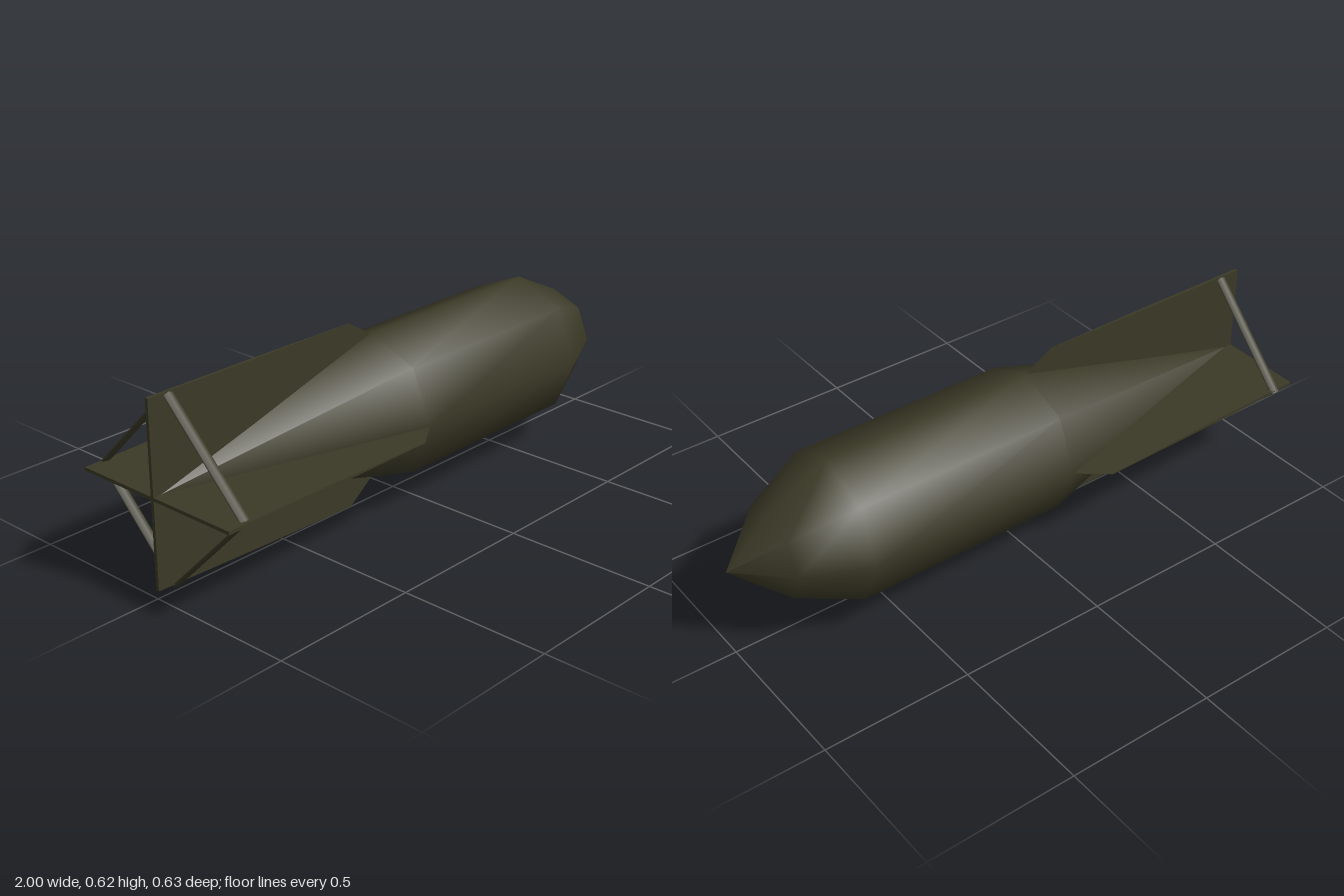
import * as THREE from 'three';

export function createModel() {
  const olive = new THREE.MeshStandardMaterial({ color: 0x3b3926 });
  olive.name = 'darkOlive';
  const model = new THREE.Group();
  model.name = 'finnedBomb';
  const axisY = 0.316;

  // Eight-sided smooth casing: tail cone, straight barrel, pointed nose
  const profile = [[0, -1], [0.246, -0.1], [0.246, 0.64], [0.15, 0.845], [0, 1]]
    .map(([r, x]) => new THREE.Vector2(r, x));
  const casing = new THREE.Mesh(new THREE.LatheGeometry(profile, 8), olive);
  casing.name = 'casing';
  casing.rotation.z = -Math.PI / 2;
  casing.position.y = axisY;
  model.add(casing);

  // Extruded plate whose thickness is a function of x
  function plate(name, outline, halfThickness) {
    const shape = new THREE.Shape(outline.map(([x, y]) => new THREE.Vector2(x, y)));
    const geometry = new THREE.ExtrudeGeometry(shape, { depth: 2, bevelEnabled: false });
    geometry.translate(0, 0, -1);
    const p = geometry.attributes.position;
    for (let i = 0; i < p.count; i++) p.setZ(i, p.getZ(i) * halfThickness(p.getX(i)));
    geometry.computeVertexNormals();
    const mesh = new THREE.Mesh(geometry, olive);
    mesh.name = name;
    return mesh;
  }

  // Rear part is flat; front part narrows to a sharp leading edge
  const T = 0.0055;
  const taper = (x) => Math.max(0.0004, T * Math.min(1, (-0.15 - x) / 0.45));

  // Fin order round the axis: top, front, bottom, back, as [name, rear radius, front radius]
  const fins = [
    ['top', 0.304, 0.304], ['front', 0.313, 0.313],
    ['bottom', 0.29, 0.316], ['back', 0.297, 0.32],
  ];
  fins.forEach(([name, rear, front], i) => {
    const quarter = new THREE.Group();
    quarter.name = name + 'Fin';
    quarter.position.y = axisY;
    quarter.rotation.x = i * Math.PI / 2;
    const mid = (rear + front) / 2;
    quarter.add(plate('finRear', [[-1, 0], [-0.6, 0], [-0.6, mid], [-1, rear]], () => T));
    quarter.add(plate('finLeadingEdge',
      [[-0.6, 0], [-0.1, 0], [-0.1, 0.242], [-0.2, front], [-0.6, mid]], taper));

    // Flattened brace joining this fin's tip to the next one
    const R = 0.298;
    const brace = new THREE.Mesh(new THREE.CylinderGeometry(1, 1, R * Math.SQRT2, 6), olive);
    brace.name = 'tailBrace';
    brace.scale.set(0.0185, 1, 0.0068);
    brace.rotation.x = Math.PI * 0.75;
    brace.position.set(-0.925, R / 2, R / 2);
    quarter.add(brace);
    model.add(quarter);
  });

  return model;
}
